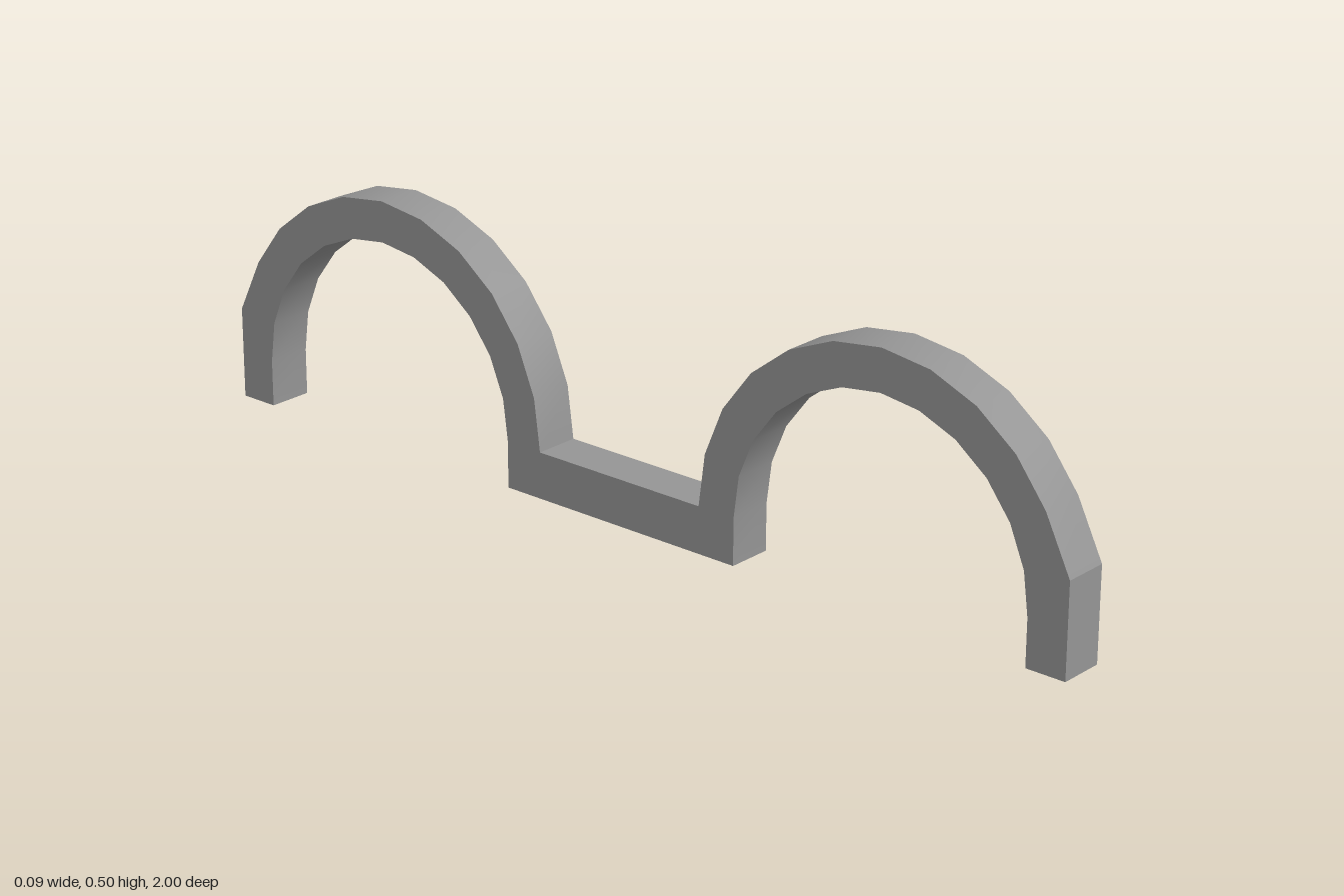
import * as THREE from 'three';
import { toCreasedNormals } from 'three/addons/utils/BufferGeometryUtils.js';

const WIDTH = 0.092;
const CENTRE_Z = 0.597, CENTRE_Y = 0.093;
const OUTER = 0.403, INNER = 0.321;

// Points on an arch, in steps of 15 degrees
function arc(radius, fromStep, toStep) {
  const points = [];
  const dir = Math.sign(toStep - fromStep);
  for (let i = fromStep; i !== toStep + dir; i += dir) {
    const a = i * Math.PI / 12;
    points.push(new THREE.Vector2(CENTRE_Z + radius * Math.cos(a), CENTRE_Y + radius * Math.sin(a)));
  }
  return points;
}

export function createModel() {
  const group = new THREE.Group();
  group.name = 'doubleArch';

  // Half of the side outline, from the connecting bar round one arch and back
  const half = [
    ...arc(OUTER, 12, 2),
    new THREE.Vector2(1, 0.185), // square outer post
    new THREE.Vector2(1, 0),
    new THREE.Vector2(CENTRE_Z + INNER, 0),
    ...arc(INNER, 0, 12),
    new THREE.Vector2(CENTRE_Z - INNER, 0),
  ];
  const mirrored = half.map(p => new THREE.Vector2(-p.x, p.y)).reverse();
  const shape = new THREE.Shape([...half, ...mirrored]);

  // Both arches and the bar as one solid, extruded across the width
  let geometry = new THREE.ExtrudeGeometry(shape, { depth: WIDTH, bevelEnabled: false });
  geometry.translate(0, 0, -WIDTH / 2);
  geometry.rotateY(-Math.PI / 2);
  geometry = toCreasedNormals(geometry, 0.35);

  const mesh = new THREE.Mesh(geometry, new THREE.MeshStandardMaterial({ color: 0x959595 }));
  mesh.name = 'archesAndBar';
  group.add(mesh);
  return group;
}
